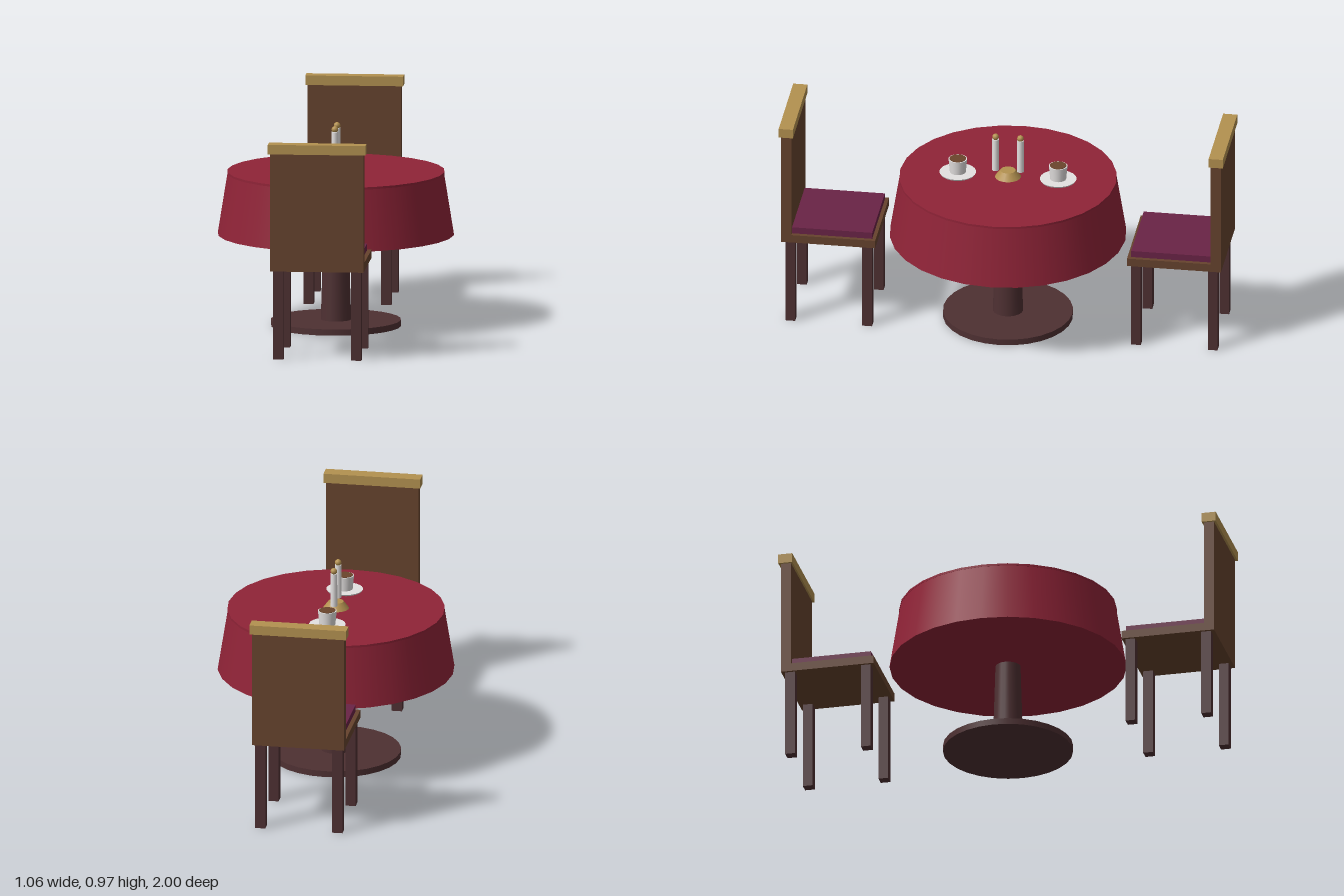
import * as THREE from 'three';

const mat = (name, color) => {
  const m = new THREE.MeshStandardMaterial({ color });
  m.name = name;
  return m;
};

export function createModel() {
  const cloth = mat('red cloth', 0x8f2337);
  const wood = mat('brown wood', 0x66432d);
  const darkWood = mat('dark wood', 0x4e3032);
  const gold = mat('gold', 0xb39150);
  const velvet = mat('plum velvet', 0x6a2346);
  const china = mat('white china', 0xe4e1e0);
  const coffee = mat('coffee', 0x6b452c);

  const model = new THREE.Group();
  model.name = 'diningSet';

  const add = (parent, name, geometry, material, x, y, z) => {
    const mesh = new THREE.Mesh(geometry, material);
    mesh.name = name;
    mesh.position.set(x, y, z);
    parent.add(mesh);
    return mesh;
  };
  // Box given by its width, height range and depth range
  const box = (parent, name, material, w, y0, y1, z0, z1, x = 0) =>
    add(parent, name, new THREE.BoxGeometry(w, y1 - y0, z1 - z0), material, x, (y0 + y1) / 2, (z0 + z1) / 2);
  // Upright round part given by its radii and height range
  const round = (parent, name, material, rTop, rBottom, y0, y1, sides, z = 0) =>
    add(parent, name, new THREE.CylinderGeometry(rTop, rBottom, y1 - y0, sides), material, 0, (y0 + y1) / 2, z);
  const group = (name) => {
    const g = new THREE.Group();
    g.name = name;
    model.add(g);
    return g;
  };

  // Pedestal table with a flared cloth
  const table = group('table');
  round(table, 'tableBase', darkWood, 0.29, 0.29, 0, 0.028, 28);
  round(table, 'tablePost', darkWood, 0.056, 0.068, 0.028, 0.416, 20);
  round(table, 'tableCloth', cloth, 0.484, 0.528, 0.415, 0.688, 28);
  round(table, 'tableTop', cloth, 0.485, 0.485, 0.688, 0.698, 28);

  // Two chairs facing each other across the table
  for (const side of [1, -1]) {
    const chair = group(side > 0 ? 'frontChair' : 'backChair');
    if (side < 0) chair.rotation.y = Math.PI;
    box(chair, 'seatFrame', wood, 0.417, 0.4, 0.437, 0.567, 0.99);
    box(chair, 'seatCushion', velvet, 0.38, 0.437, 0.467, 0.583, 0.945);
    box(chair, 'backrest', wood, 0.417, 0.437, 0.93, 0.944, 0.99);
    box(chair, 'topRail', gold, 0.437, 0.93, 0.973, 0.936, 1);
    for (const x of [-0.174, 0.174])
      for (const z of [0.605, 0.951])
        box(chair, 'leg', darkWood, 0.046, 0, 0.4, z - 0.022, z + 0.022, x);
  }

  // A cup and saucer at each place
  for (const z of [0.226, -0.226]) {
    const setting = group('placeSetting');
    round(setting, 'saucer', china, 0.082, 0.078, 0.698, 0.705, 24, z);
    round(setting, 'cup', china, 0.042, 0.036, 0.705, 0.77, 18, z);
    round(setting, 'coffee', coffee, 0.037, 0.037, 0.768, 0.772, 18, z);
  }

  // Candle holder with two candles
  const candles = group('candleHolder');
  round(candles, 'holderBase', gold, 0.034, 0.058, 0.698, 0.73, 18);
  for (const z of [0.056, -0.056]) {
    round(candles, 'candle', china, 0.015, 0.016, 0.728, 0.882, 12, z);
    add(candles, 'flame', new THREE.SphereGeometry(0.015, 10, 8), gold, 0, 0.893, z);
  }
  return model;
}
